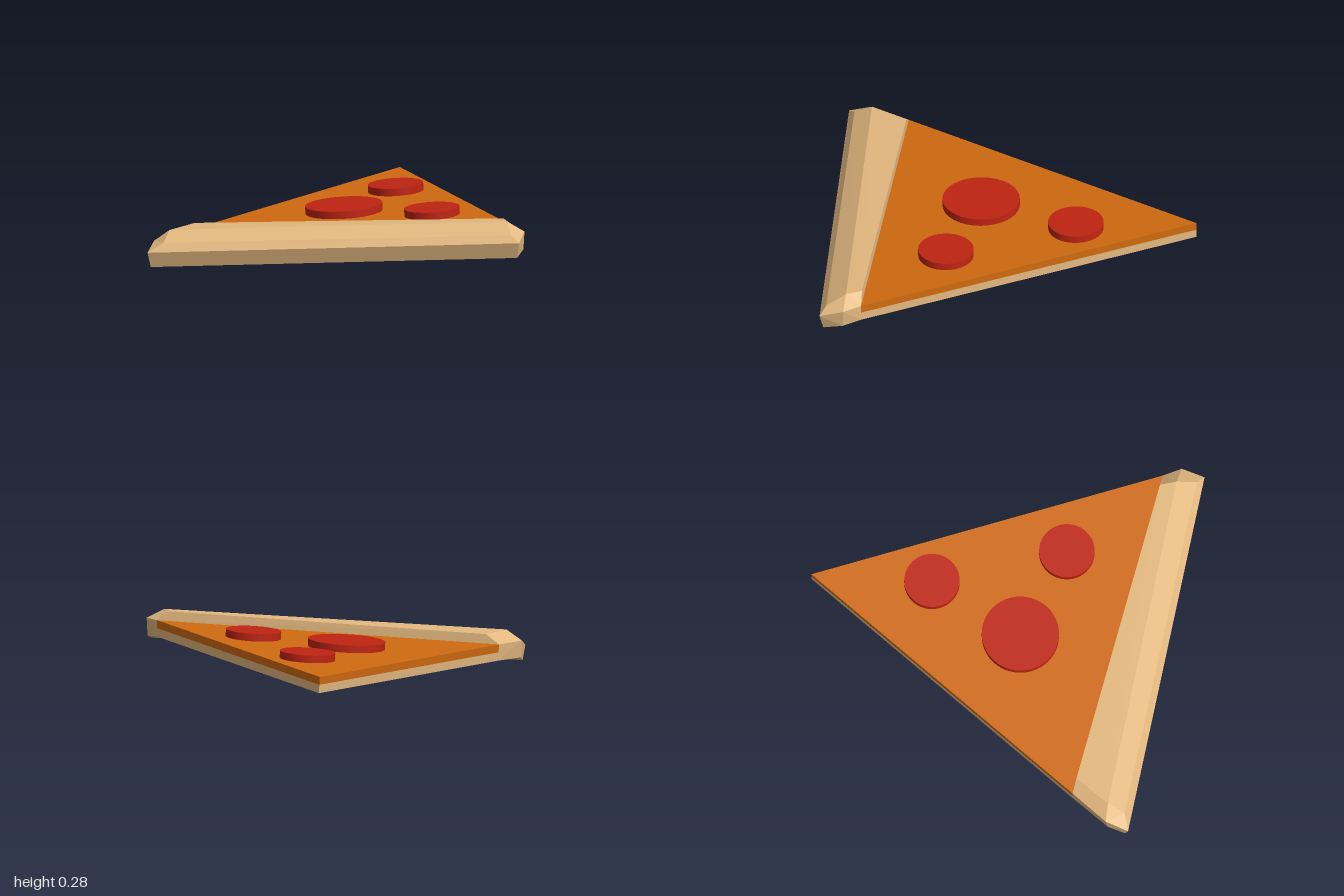
import * as THREE from 'three';

const flat = (name, color) => {
  const m = new THREE.MeshStandardMaterial({ color, flatShading: true });
  m.name = name;
  return m;
};

// Flat-faced solid: each polygon is fanned and turned to face away from the centre
function solid(name, polygons, material) {
  const all = polygons.flat().map((p) => new THREE.Vector3(...p));
  const centre = all.reduce((s, p) => s.add(p), new THREE.Vector3()).divideScalar(all.length);
  const out = [];
  for (const poly of polygons) {
    const pts = poly.map((p) => new THREE.Vector3(...p));
    for (let i = 1; i < pts.length - 1; i++) {
      const [a, b, c] = [pts[0], pts[i], pts[i + 1]];
      const n = b.clone().sub(a).cross(c.clone().sub(a));
      const mid = a.clone().add(b).add(c).divideScalar(3).sub(centre);
      for (const p of n.dot(mid) < 0 ? [a, c, b] : [a, b, c]) out.push(p.x, p.y, p.z);
    }
  }
  const g = new THREE.BufferGeometry();
  g.setAttribute('position', new THREE.Float32BufferAttribute(out, 3));
  g.computeVertexNormals();
  const mesh = new THREE.Mesh(g, material);
  mesh.name = name;
  return mesh;
}

// Triangular prism between two outlines
const prism = (top, bottom) => [
  top, bottom,
  ...top.map((p, i) => {
    const j = (i + 1) % top.length;
    return [p, top[j], bottom[j], bottom[i]];
  }),
];

export function createModel() {
  const group = new THREE.Group();
  group.name = 'pizzaSlice';
  const crustMat = flat('baked crust', 0xe3b87f);
  const cheeseMat = flat('orange cheese', 0xd06a10);
  const meatMat = flat('red pepperoni', 0xc02412);

  // The slice lies on a slightly tilted plane
  const surface = (x, z) => 0.196 + 0.057 * x - 0.019 * z;
  const normal = new THREE.Vector3(-0.057, 1, 0.019).normalize();

  // Dough and cheese layers
  const corners = [[-0.095, -0.998], [0.93, 0.65], [-0.89, 0.66]];
  const layer = (drop) => corners.map(([x, z]) => [x + drop * 0.057, surface(x, z) - drop, z]);
  group.add(solid('cheese', prism(layer(0), layer(0.042)), cheeseMat));
  group.add(solid('dough', prism(layer(0.042), layer(0.087)), crustMat));

  // Crust: matching cross-sections at both ends
  // 0 inner bottom, 1 outer bottom, 2 front bottom, 3 front top, 4 slope,
  // 5 ridge front, 6 ridge back, 7 cheese level, 8 end-face shoulder
  const [tR, tL] = layer(0).slice(1);
  const [bR, bL] = layer(0.087).slice(1);
  const right = [bR, [0.99, 0.14, 0.74], [0.98, 0.112, 0.845], [0.995, 0.195, 0.863],
    [0.945, 0.23, 0.835], [0.9, 0.285, 0.735], [0.86, 0.285, 0.655], tR, [0.995, 0.235, 0.737]];
  const left = [bL, [-0.985, 0.03, 0.88], [-0.985, 0, 0.975], [-0.998, 0.08, 0.995],
    [-0.92, 0.13, 0.955], [-0.91, 0.182, 0.86], [-0.82, 0.187, 0.662], tL, [-0.992, 0.122, 0.87]];
  const faces = [];
  for (let i = 0; i < 8; i++) {
    const j = (i + 1) % 8;
    faces.push([left[i], right[i], right[j], left[j]]);
  }
  for (const e of [left, right]) {
    for (const ids of [[1, 8, 3, 2], [0, 7, 8, 1], [7, 6, 5, 8], [8, 5, 4, 3]]) {
      faces.push(ids.map((k) => e[k]));
    }
  }
  group.add(solid('crust', faces, crustMat));

  // Pepperoni discs
  const discMat = meatMat.clone();
  discMat.flatShading = false;
  for (const [x, z, r] of [[0.032, -0.37, 0.147], [-0.125, 0.16, 0.205], [0.382, 0.275, 0.147]]) {
    const disc = new THREE.Mesh(new THREE.CylinderGeometry(r, r, 0.06, 48), discMat);
    disc.name = 'pepperoni';
    disc.position.set(x, surface(x, z) + 0.01, z);
    disc.quaternion.setFromUnitVectors(new THREE.Vector3(0, 1, 0), normal);
    group.add(disc);
  }
  return group;
}
